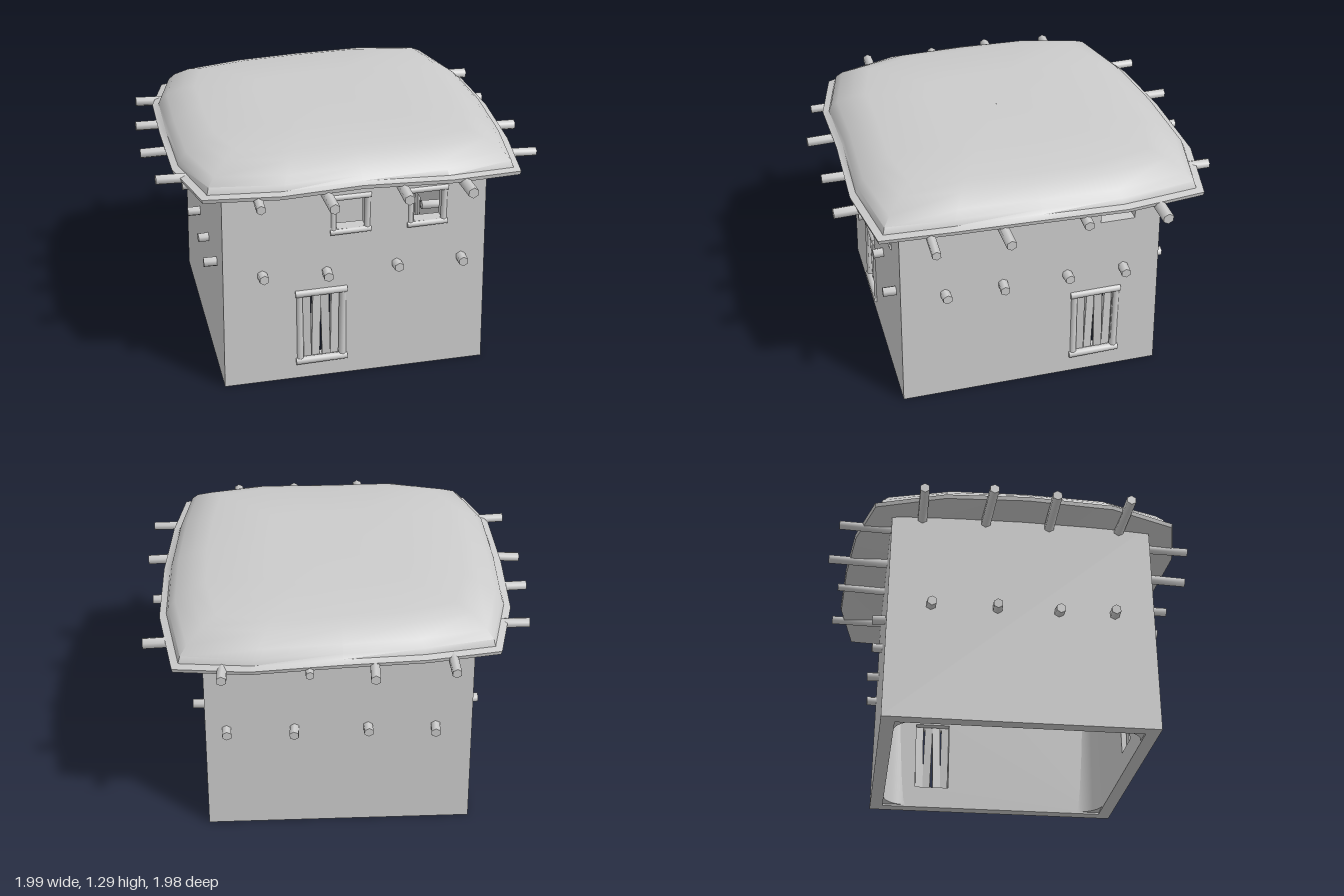
import * as THREE from 'three';
import { toCreasedNormals } from 'three/addons/utils/BufferGeometryUtils.js';

const HALF = 0.69, THICK = 0.07, TOP = 1.16;
const grey = new THREE.MeshStandardMaterial({ color: 0xcccccc });
const grey2 = new THREE.MeshStandardMaterial({ color: 0xcccccc, side: THREE.DoubleSide });

function add(parent, geometry, name, material = grey) {
  const mesh = new THREE.Mesh(geometry, material);
  mesh.name = name;
  parent.add(mesh);
  return mesh;
}

// distance of the outer wall face from the middle at height y
const face = (y) => HALF - 0.018 * y / TOP;

// log between two points
function log(parent, a, b, radius, name, sides = 6) {
  const p = new THREE.Vector3(...a), q = new THREE.Vector3(...b);
  const dir = q.clone().sub(p);
  const g = new THREE.CylinderGeometry(radius, radius * 1.05, dir.length(), sides);
  const mesh = add(parent, toCreasedNormals(g, 1.1), name);
  mesh.position.copy(p).add(q).multiplyScalar(0.5);
  mesh.quaternion.setFromUnitVectors(new THREE.Vector3(0, 1, 0), dir.normalize());
}

// wall panel with openings [u0, u1, y0, y1], mitred at both ends and leaning in slightly
function wallPanel(parent, openings) {
  const s = new THREE.Shape([[-HALF, 0], [HALF, 0], [HALF, TOP], [-HALF, TOP]].map(p => new THREE.Vector2(...p)));
  for (const [u0, u1, y0, y1] of openings) {
    s.holes.push(new THREE.Path([[u0, y0], [u0, y1], [u1, y1], [u1, y0]].map(p => new THREE.Vector2(...p))));
  }
  const g = new THREE.ExtrudeGeometry(s, { depth: THICK, bevelEnabled: false });
  const pos = g.attributes.position;
  for (let i = 0; i < pos.count; i++) {
    const u = pos.getX(i), y = pos.getY(i);
    const k = face(y) - THICK + pos.getZ(i);
    pos.setXYZ(i, Math.abs(u) > HALF - 0.001 ? Math.sign(u) * k : u, y, k);
  }
  g.computeVertexNormals();
  add(parent, g, 'wall');
}

// rounded plaster in the inner corner
function cornerFillet(parent) {
  const c = HALF - THICK, r = 0.13;
  const s = new THREE.Shape();
  s.moveTo(c, c);
  s.lineTo(c - r, c);
  s.absarc(c - r, c - r, r, Math.PI / 2, 0, true);
  s.closePath();
  const g = new THREE.ExtrudeGeometry(s, { depth: 1.12, bevelEnabled: false, curveSegments: 8 });
  g.rotateX(-Math.PI / 2);
  add(parent, toCreasedNormals(g, 0.6), 'innerCorner').position.y = 0.01;
}

// log frame: two rails and two posts
function frame(parent, u, y0, y1, railHalf, postHalf, r, name) {
  const group = new THREE.Group();
  group.name = name;
  const z = (y) => face(y) - 0.004;
  for (const y of [y0, y1]) log(group, [u - railHalf, y, z(y)], [u + railHalf, y + 0.004, z(y)], r, 'rail', 8);
  for (const s of [-1, 1]) {
    log(group, [u + s * postHalf, y0, z(y0) - 0.006], [u + s * postHalf * 1.02, y1, z(y1) - 0.006], r, 'post', 8);
  }
  parent.add(group);
  return group;
}

// plank door inside a log frame
function door(parent, u, y0, y1) {
  const g = frame(parent, u, y0, y1, 0.135, 0.112, 0.02, 'door');
  const tilt = [0.01, -0.02, 0.025, -0.012];
  tilt.forEach((t, i) => {
    const plank = add(g, new THREE.BoxGeometry(0.043, y1 - y0 - 0.01, 0.022), 'plank');
    plank.position.set(u + (i - 1.5) * 0.049, (y0 + y1) / 2, face(0.3) - 0.022 - (i % 2) * 0.008);
    plank.rotation.set(0, (i % 2 ? 0.12 : -0.12), t);
  });
}

// roof: rings of one outline, from the crown over the lip to the underside
function roof(parent) {
  const outline = [
    [0.9, 0], [0.87, 0.44], [0.82, 0.79], [0.45, 0.86], [0, 0.85], [-0.4, 0.86], [-0.77, 0.77], [-0.87, 0.44],
    [-0.88, 0], [-0.87, -0.42], [-0.78, -0.77], [-0.41, -0.86], [0, -0.9], [0.45, -0.92], [0.82, -0.85], [0.9, -0.43]];
  // scale, height, share of the eave's sag
  const rings = [[0.001, 1.29, 0], [0.4, 1.289, 0], [0.74, 1.277, 0], [0.82, 1.258, 0.1], [0.91, 1.218, 0.4],
    [0.95, 1.19, 0.7], [0.962, 1.165, 1], [1, 1.155, 1], [0.995, 1.135, 1], [0.8, 1.135, 0.4], [0.001, 1.14, 0]];
  const n = outline.length, pos = [], index = [];
  rings.forEach(([s, y, sag], r) => {
    outline.forEach(([x, z], i) => {
      const corner = i % 4 === 2 ? 0.035 : i % 2 ? 0.012 : 0;
      pos.push(x * s, y - corner * sag, z * s);
      if (r === rings.length - 1) return;
      const a = r * n + i, d = r * n + (i + 1) % n, b = a + n, c = d + n;
      index.push(a, c, b, a, d, c);
    });
  });
  const g = new THREE.BufferGeometry();
  g.setAttribute('position', new THREE.Float32BufferAttribute(pos, 3));
  g.setIndex(index);
  add(parent, toCreasedNormals(g, 0.9), 'roof', grey2);
}

export function createModel() {
  const model = new THREE.Group();
  model.name = 'house';

  // per side: openings, roof beams [u, reach, y, radius], floor beams [u, y]
  const sides = [
    { name: 'front', turn: 0,
      openings: [[-0.275, -0.075, 0.11, 0.49], [-0.1, 0.05, 0.84, 1.0], [0.3, 0.45, 0.84, 1.0]],
      roofBeams: [[-0.52, 0.915, 1.105, 0.024], [-0.18, 0.985, 1.108, 0.027], [0.19, 0.968, 1.108, 0.027], [0.51, 0.96, 1.108, 0.028]],
      floorBeams: [[-0.48, 0.625], [-0.155, 0.61], [0.215, 0.615], [0.55, 0.615]] },
    { name: 'right', turn: Math.PI / 2,
      openings: [[0.25, 0.44, 0.12, 0.5], [0.36, 0.54, 0.93, 1.1]],
      roofBeams: [[-0.55, 0.975, 1.105, 0.024], [-0.19, 0.985, 1.105, 0.027], [0.21, 0.935, 1.11, 0.026], [0.6, 0.965, 1.105, 0.029]],
      floorBeams: [[-0.45, 0.645], [-0.155, 0.65], [0.19, 0.645], [0.485, 0.64]] },
    { name: 'back', turn: Math.PI, openings: [],
      roofBeams: [[-0.57, 0.96, 1.125, 0.026], [-0.15, 0.935, 1.125, 0.022], [0.16, 0.99, 1.13, 0.026], [0.55, 0.94, 1.12, 0.025]],
      floorBeams: [[-0.57, 0.615], [-0.23, 0.615], [0.15, 0.615], [0.49, 0.61]] },
    { name: 'left', turn: -Math.PI / 2, openings: [],
      roofBeams: [[-0.525, 0.96, 1.125, 0.026], [-0.18, 0.995, 1.125, 0.026], [0.135, 1.005, 1.105, 0.026], [0.52, 0.97, 1.13, 0.026]],
      floorBeams: [[-0.46, 0.615], [-0.13, 0.615], [0.19, 0.615], [0.47, 0.62]] }];

  for (const side of sides) {
    const g = new THREE.Group();
    g.name = side.name + 'Side';
    g.rotation.y = side.turn;
    wallPanel(g, side.openings);
    cornerFillet(g);
    side.roofBeams.forEach(([u, reach, y, r], i) => {
      log(g, [u - (i % 2 ? 0.01 : -0.01), 1.115, 0.6], [u, y, reach], r, 'roofBeam');
    });
    side.floorBeams.forEach(([u, y], i) => {
      log(g, [u + (i % 2 ? 0.012 : -0.012), y + 0.004, 0.5], [u, y, 0.735 + (i % 2) * 0.012], 0.026, 'floorBeam');
    });
    if (side.name === 'front') {
      door(g, -0.18, 0.1, 0.495);
      for (const u of [-0.028, 0.37]) frame(g, u, 0.823, 1.01, 0.105, 0.087, 0.016, 'windowFrame');
    }
    if (side.name === 'right') door(g, 0.345, 0.11, 0.5);
    g.position.set(0.01, 0, -0.005);
    model.add(g);
  }

  roof(model);
  return model;
}
